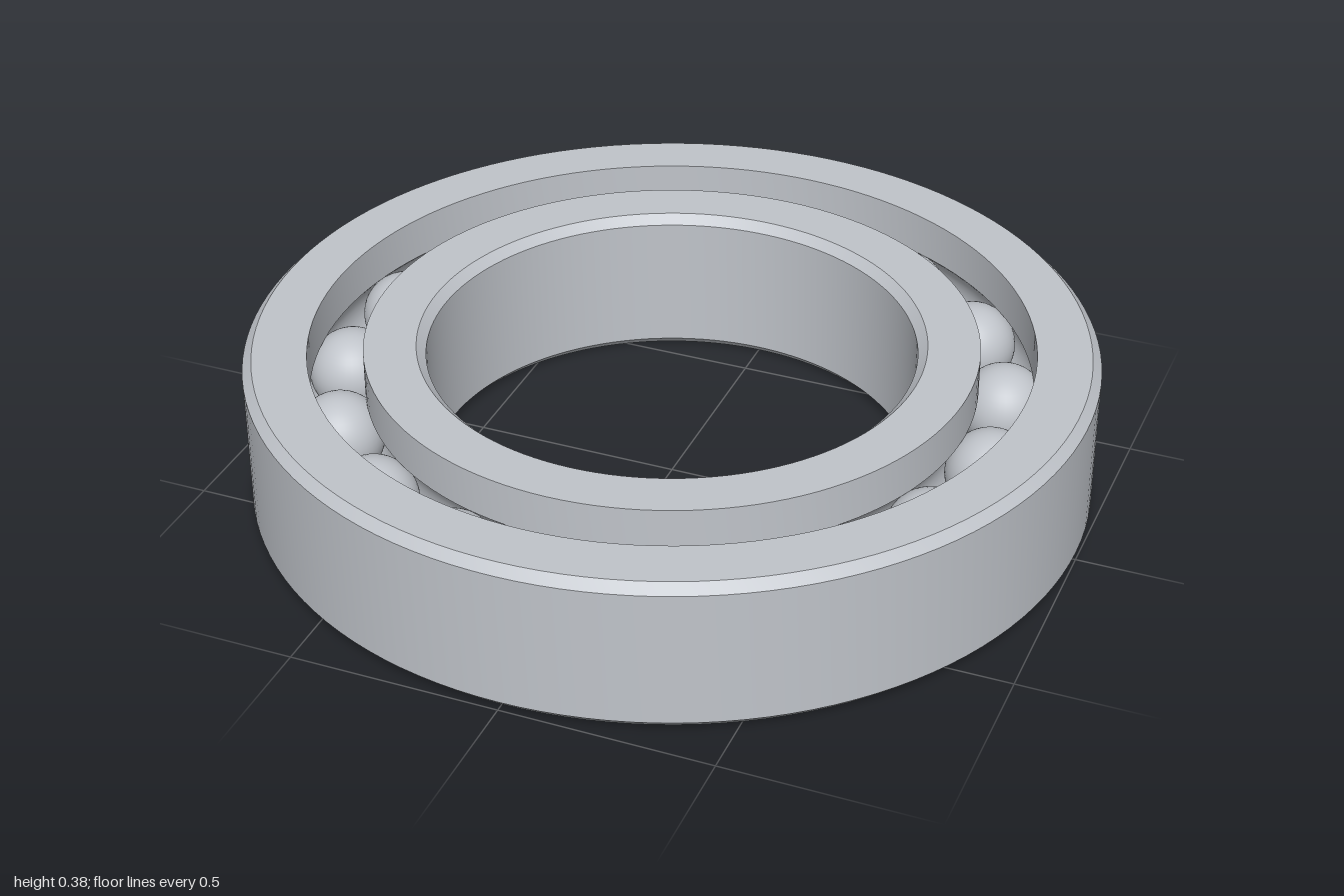
import * as THREE from 'three';
import { toCreasedNormals } from 'three/addons/utils/BufferGeometryUtils.js';

const HEIGHT = 0.375, MID = HEIGHT / 2, CHAMFER = 0.022;
const BALLS = 17, BALL_RADIUS = 0.105, PITCH_RADIUS = 0.785;

// Turned ring: chamfered on its plain wall, ball groove in its race wall.
function makeRing(name, wall, race, material) {
  const side = Math.sign(wall - race); // +1 for the outer ring, -1 for the inner
  const points = [
    [race, 0],
    [wall - side * CHAMFER, 0],
    [wall, CHAMFER],
    [wall, HEIGHT - CHAMFER],
    [wall - side * CHAMFER, HEIGHT],
    [race, HEIGHT],
  ];
  // Groove arc, concentric with the balls, from top to bottom
  const half = Math.acos(Math.abs(race - PITCH_RADIUS) / BALL_RADIUS);
  for (let i = 0; i <= 12; i++) {
    const a = half - (2 * half * i) / 12;
    points.push([PITCH_RADIUS + side * BALL_RADIUS * Math.cos(a), MID + BALL_RADIUS * Math.sin(a)]);
  }
  points.push([race, 0]);
  if (side < 0) points.reverse(); // keep faces pointing outwards
  const lathe = new THREE.LatheGeometry(points.map(([r, y]) => new THREE.Vector2(r, y)), 128);
  const ring = new THREE.Mesh(toCreasedNormals(lathe, Math.PI / 8), material);
  ring.name = name;
  return ring;
}

export function createModel() {
  const steel = new THREE.MeshStandardMaterial({ color: 0xc0c4ca });
  steel.name = 'steel';

  const model = new THREE.Group();
  model.name = 'ballBearing';
  model.add(makeRing('outerRing', 1, 0.85, steel));
  model.add(makeRing('innerRing', 0.575, 0.72, steel));

  // Balls evenly spaced around the race
  const balls = new THREE.Group();
  balls.name = 'balls';
  const ballGeometry = new THREE.SphereGeometry(BALL_RADIUS, 40, 24);
  for (let i = 0; i < BALLS; i++) {
    const a = (i / BALLS) * Math.PI * 2;
    const ball = new THREE.Mesh(ballGeometry, steel);
    ball.name = 'ball';
    ball.position.set(PITCH_RADIUS * Math.cos(a), MID, PITCH_RADIUS * Math.sin(a));
    balls.add(ball);
  }
  model.add(balls);
  return model;
}
